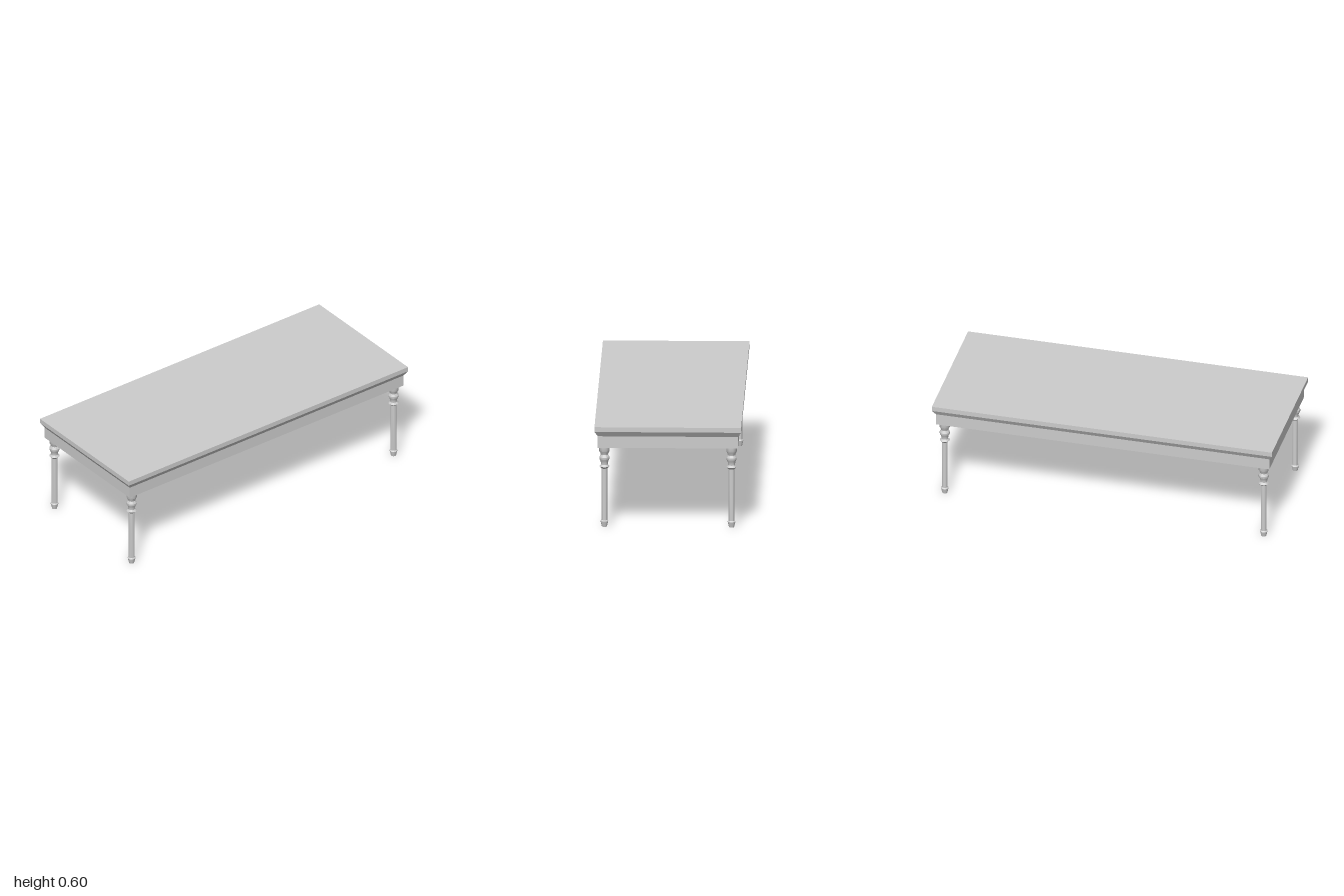
import * as THREE from 'three';
import { toCreasedNormals } from 'three/addons/utils/BufferGeometryUtils.js';

const material = new THREE.MeshStandardMaterial({ color: 0xcccccc });
const legProfile = [
  [0, 0], [0.0145, 0], [0.0225, 0.033], [0.0168, 0.039], [0.0168, 0.342],
  [0.019, 0.343], [0.029, 0.354], [0.0195, 0.365], [0.02, 0.375], [0.0235, 0.387],
  [0.029, 0.398], [0.029, 0.409], [0.021, 0.423], [0.0225, 0.43], [0.029, 0.443],
  [0.03, 0.445], [0.03, 0.475], [0, 0.475],
];

function add(group, name, geometry, x = 0, y = 0, z = 0) {
  const mesh = new THREE.Mesh(geometry, material);
  mesh.name = name;
  mesh.position.set(x, y, z);
  group.add(mesh);
}

const rectangle = (Type, x, z) =>
  new Type([[-x, -z], [x, -z], [x, z], [-x, z]].map(([a, b]) => new THREE.Vector2(a, b)));

export function createModel() {
  const table = new THREE.Group();
  table.name = 'table';

  // Flat slab
  add(table, 'tableTop', new THREE.BoxGeometry(2, 0.028, 0.836), 0, 0.584);

  // Bevelled moulding: a box whose lower corners are drawn in
  const moulding = new THREE.BoxGeometry(2, 0.03, 0.836);
  const p = moulding.attributes.position;
  for (let i = 0; i < p.count; i++) {
    if (p.getY(i) < 0) p.setXYZ(i, Math.sign(p.getX(i)) * 0.98, p.getY(i), Math.sign(p.getZ(i)) * 0.4);
  }
  const bevel = moulding.toNonIndexed();
  bevel.computeVertexNormals();
  add(table, 'moulding', bevel, 0, 0.555);

  // Apron frame around a slightly recessed underside
  const frame = rectangle(THREE.Shape, 0.98, 0.4);
  frame.holes.push(rectangle(THREE.Path, 0.969, 0.389));
  const apron = new THREE.ExtrudeGeometry(frame, { depth: 0.068, bevelEnabled: false });
  apron.rotateX(-Math.PI / 2);
  add(table, 'apron', apron, 0, 0.472);
  add(table, 'underside', new THREE.BoxGeometry(1.938, 0.054, 0.778), 0, 0.513);

  // Four turned legs
  const leg = toCreasedNormals(
    new THREE.LatheGeometry(legProfile.map(([r, y]) => new THREE.Vector2(r, y)), 24), 0.5);
  leg.name = 'turnedLeg';
  for (const [front, z] of [['front', 0.3625], ['back', -0.3625]]) {
    for (const [side, x] of [['Left', 0.938], ['Right', -0.938]]) {
      add(table, `${front}${side}Leg`, leg, x, 0, z);
      // Short hidden tenon joining the leg to the recessed underside
      add(table, `${front}${side}Tenon`, new THREE.CylinderGeometry(0.03, 0.03, 0.02, 24), x, 0.481, z);
    }
  }
  return table;
}
